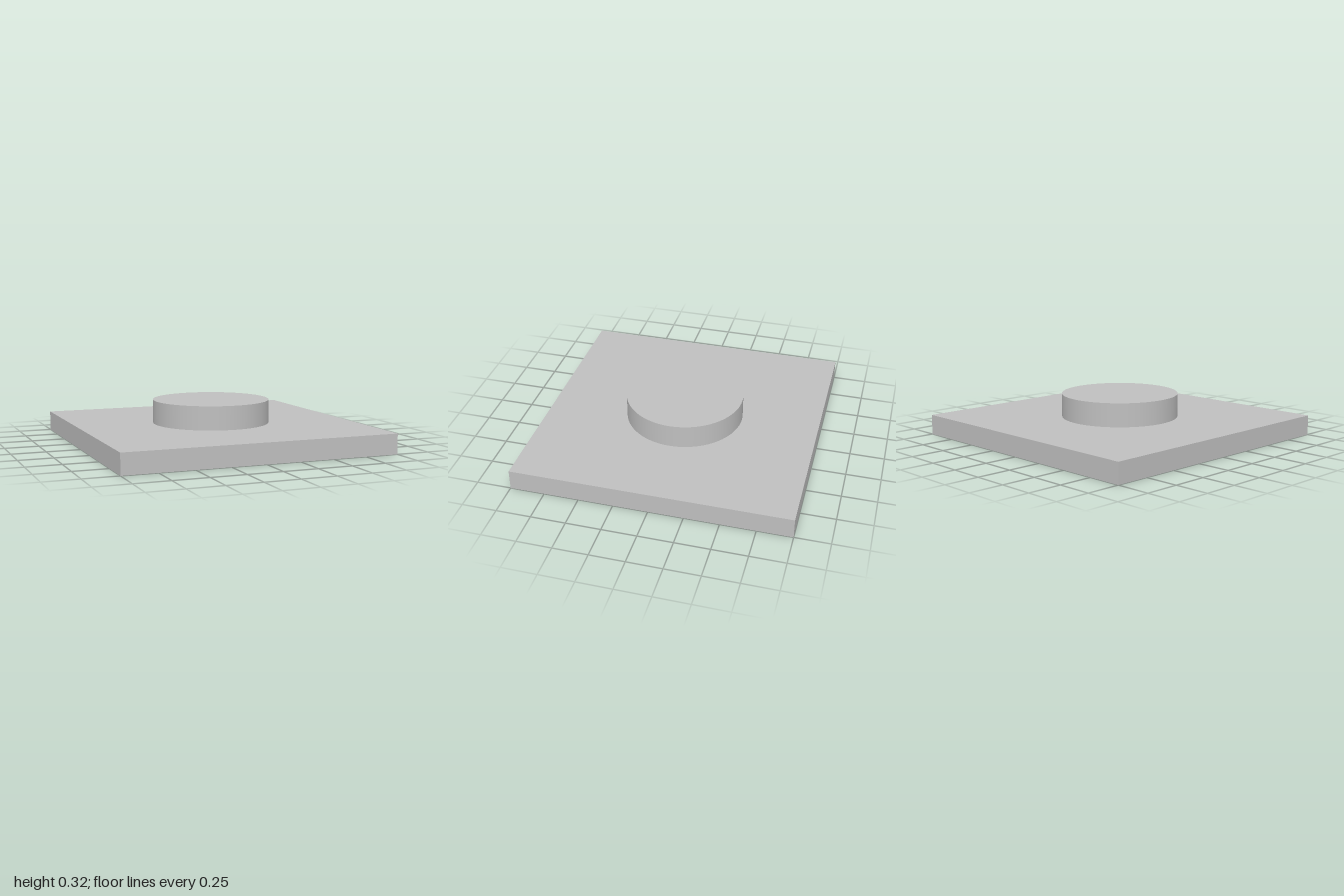
import * as THREE from 'three';

const SIZE = 2;
const PLATE_HEIGHT = 0.147;
const TOTAL_HEIGHT = 0.32;
const KNOB_RADIUS = 0.432;

export function createModel() {
  const group = new THREE.Group();
  group.name = 'knobbedPlate';

  const grey = new THREE.MeshStandardMaterial({ color: 0xbfbfbf });
  grey.name = 'plain grey';

  // Square base plate
  const plate = new THREE.Mesh(new THREE.BoxGeometry(SIZE, PLATE_HEIGHT, SIZE), grey);
  plate.name = 'basePlate';
  plate.position.y = PLATE_HEIGHT / 2;
  group.add(plate);

  // Round knob standing on the middle of the plate
  const knobHeight = TOTAL_HEIGHT - PLATE_HEIGHT;
  const knob = new THREE.Mesh(
    new THREE.CylinderGeometry(KNOB_RADIUS, KNOB_RADIUS, knobHeight, 96),
    grey
  );
  knob.name = 'knob';
  knob.position.y = PLATE_HEIGHT + knobHeight / 2;
  group.add(knob);

  return group;
}
